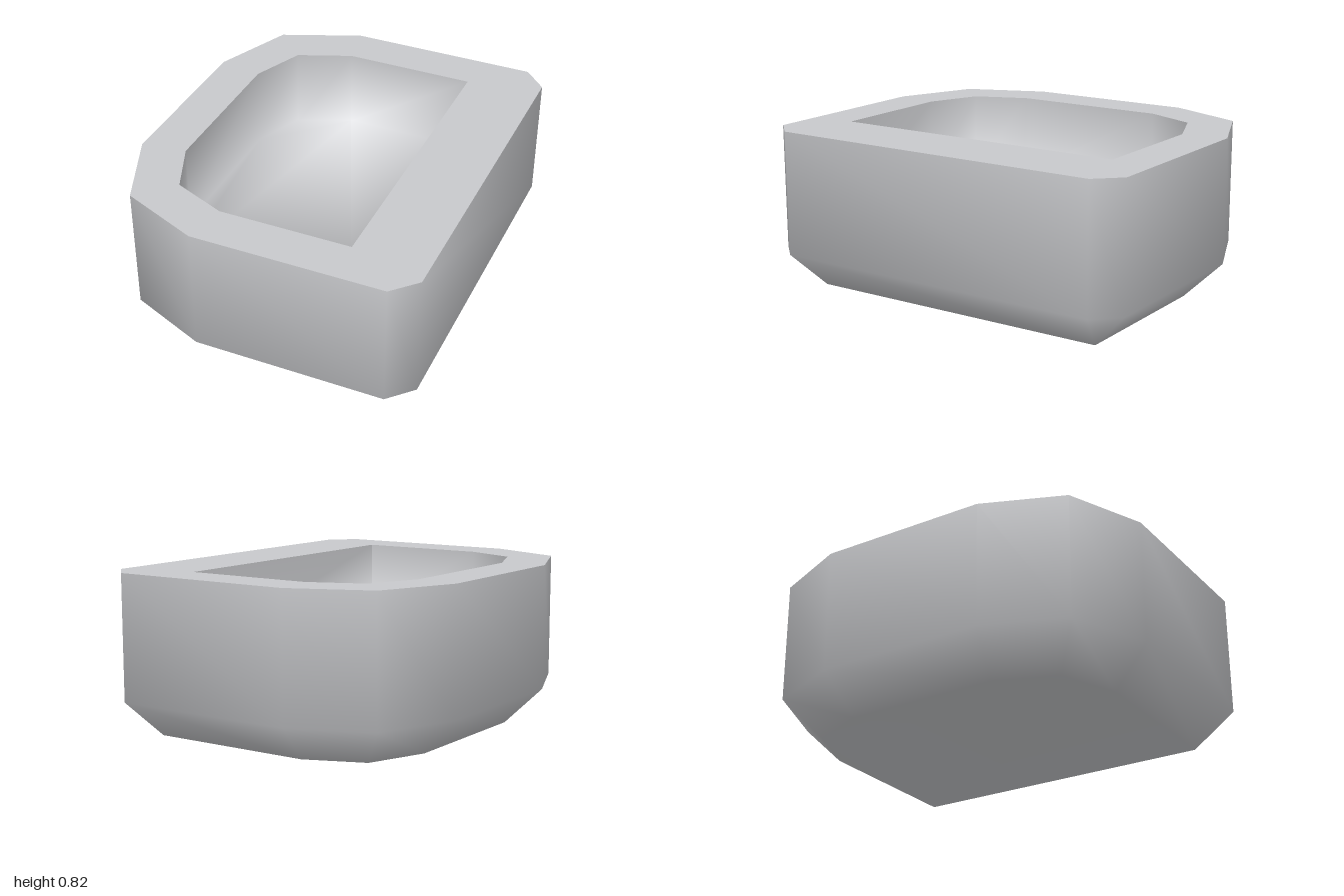
import * as THREE from 'three';

const TOP = 0.825, CHAMFER = 0.19, FLOOR = 0.41;

// Half outlines as [x, z] on the +z side, running from +x to -x
const mirror = (half) => [...half, ...half.map(([x, z]) => [x, -z]).reverse()];
const outer = mirror([[0.82, 0.88], [0.705, 1], [-0.26, 1], [-0.66, 0.835], [-0.825, 0.435]]);
const base = mirror([[0.635, 0.805], [0.63, 0.81], [-0.22, 0.81], [-0.515, 0.69], [-0.635, 0.395]]);
const inner = mirror([[0.445, 0.775], [-0.22, 0.775], [-0.49, 0.665], [-0.6, 0.4]]);

const toVectors = (ring) => ring.map(([x, z]) => new THREE.Vector2(x, z));

// Smooth normals, each face weighted by its angle at the corner
function angleNormals(pos, index) {
  const point = (i) => new THREE.Vector3().fromArray(pos, i * 3);
  const sums = Array.from({ length: pos.length / 3 }, () => new THREE.Vector3());
  for (let t = 0; t < index.length; t += 3) {
    for (let k = 0; k < 3; k++) {
      const i = index[t + k];
      const u = point(index[t + (k + 1) % 3]).sub(point(i));
      const v = point(index[t + (k + 2) % 3]).sub(point(i));
      const weight = u.angleTo(v);
      sums[i].addScaledVector(u.cross(v).normalize(), weight);
    }
  }
  return sums.flatMap((s) => s.normalize().toArray());
}

// Smooth wall through stacked rings (bottom to top), with the lowest ring capped.
// facing 1 = outside surface, -1 = inside surface; sharp lists corners creased at the top.
function shell(rings, facing, sharp = []) {
  const n = rings[0].outline.length;
  const pos = [], index = [];
  rings.forEach(({ outline, y }) => outline.forEach(([x, z]) => pos.push(x, y, z)));
  const tri = (a, b, c) => (facing > 0 ? index.push(a, b, c) : index.push(a, c, b));

  // Second copy of each creased top corner
  const last = (rings.length - 1) * n;
  const twin = {};
  sharp.forEach((i) => {
    twin[last + i] = pos.length / 3;
    pos.push(...pos.slice((last + i) * 3, (last + i) * 3 + 3));
  });

  for (let r = 0; r < rings.length - 1; r++) {
    for (let i = 0; i < n; i++) {
      const j = (i + 1) % n;
      const a = r * n + i, b = r * n + j, d = a + n;
      const c = twin[b + n] ?? b + n;
      tri(a, d, c);
      tri(a, c, b);
    }
  }

  // Cap faces down on the outside, up on the inside
  const pts = toVectors(rings[0].outline);
  for (const [a, b, c] of THREE.ShapeUtils.triangulateShape(pts, [])) {
    const down = THREE.ShapeUtils.area([pts[a], pts[b], pts[c]]) > 0;
    if (down === facing > 0) index.push(a, b, c);
    else index.push(a, c, b);
  }

  const geo = new THREE.BufferGeometry();
  geo.setAttribute('position', new THREE.Float32BufferAttribute(pos, 3));
  geo.setAttribute('normal', new THREE.Float32BufferAttribute(angleNormals(pos, index), 3));
  geo.setIndex(index);
  return geo;
}

export function createModel() {
  const grey = new THREE.MeshStandardMaterial({ color: 0xc8c9cc });
  grey.name = 'light grey';
  const group = new THREE.Group();
  group.name = 'basin';
  const add = (name, geo) => {
    const mesh = new THREE.Mesh(geo, grey);
    mesh.name = name;
    group.add(mesh);
  };

  // Outside walls, chamfer and underside
  add('outerBody', shell([
    { outline: base, y: 0 },
    { outline: outer, y: CHAMFER },
    { outline: outer, y: TOP },
  ], 1));

  // Recess walls and floor, creased at the two square corners
  add('recess', shell([
    { outline: inner, y: FLOOR },
    { outline: inner, y: TOP },
  ], -1, [0, inner.length - 1]));

  // Flat rim around the recess
  const rim = new THREE.Shape(toVectors(outer));
  rim.holes.push(new THREE.Path(toVectors(inner)));
  add('rim', new THREE.ShapeGeometry(rim).rotateX(-Math.PI / 2).translate(0, TOP, 0));

  return group;
}
